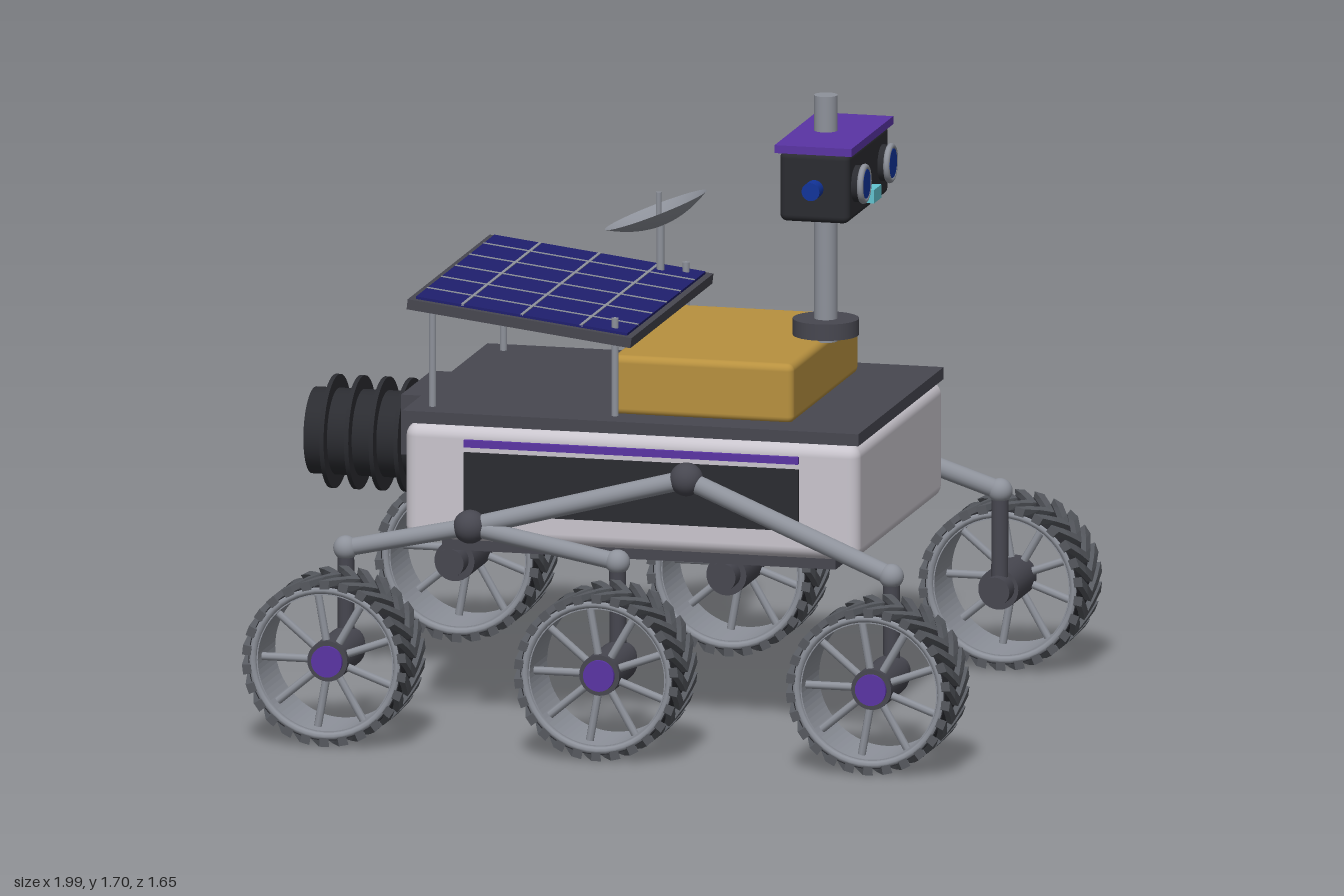
import * as THREE from 'three';
import { mergeGeometries } from 'three/addons/utils/BufferGeometryUtils.js';
import { RoundedBoxGeometry } from 'three/addons/geometries/RoundedBoxGeometry.js';

const mat = (name, color, side = THREE.FrontSide) => {
  const m = new THREE.MeshStandardMaterial({ color, side });
  m.name = name;
  return m;
};

export function createModel() {
  const root = new THREE.Group();
  root.name = 'rover';
  const shell = mat('pale shell', 0xc9c5cd);
  const deckGrey = mat('deck grey', 0x474750);
  const black = mat('charcoal', 0x2b2c31);
  const metal = mat('metal', 0x8e929b, THREE.DoubleSide);
  const tread = mat('tread grey', 0x56595f);
  const gold = mat('gold', 0xb8913f);
  const purple = mat('purple', 0x5a34a4);
  const cellBlue = mat('solar blue', 0x1f1f6e);
  const lensBlue = mat('lens blue', 0x12349a);
  const cyan = mat('cyan', 0x62c4d0);

  const add = (parent, name, geo, material, x = 0, y = 0, z = 0) => {
    const m = new THREE.Mesh(geo, material);
    m.name = name;
    m.position.set(x, y, z);
    parent.add(m);
    return m;
  };
  // box given by its minimum and maximum corners
  const block = (parent, name, material, a, b, r = 0) => {
    const s = a.map((v, i) => b[i] - v);
    const geo = r ? new RoundedBoxGeometry(...s, 3, r) : new THREE.BoxGeometry(...s);
    return add(parent, name, geo, material, ...a.map((v, i) => (v + b[i]) / 2));
  };
  // round bar between two points
  const bar = (parent, name, material, a, b, r, sides = 20) => {
    const p = new THREE.Vector3(...a), q = new THREE.Vector3(...b), d = q.clone().sub(p);
    const m = add(parent, name, new THREE.CylinderGeometry(r, r, d.length(), sides), material);
    m.position.copy(p).add(q).multiplyScalar(0.5);
    m.quaternion.setFromUnitVectors(new THREE.Vector3(0, 1, 0), d.normalize());
    return m;
  };
  const ball = (parent, name, material, p, r) =>
    add(parent, name, new THREE.SphereGeometry(r, 24, 16), material, ...p);

  // Chassis
  block(root, 'body', shell, [-0.63, 0.51, -0.465], [0.64, 0.83, 0.465], 0.035);
  block(root, 'deck', deckGrey, [-0.635, 0.832, -0.463], [0.64, 0.865, 0.463]);
  block(root, 'bellyPlate', deckGrey, [-0.545, 0.47, -0.38], [0.555, 0.515, 0.38]);
  block(root, 'equipmentBox', gold, [-0.08, 0.86, -0.36], [0.43, 1.025, 0.36], 0.02);
  for (const s of [1, -1]) {
    add(root, 'sidePanel', new THREE.BoxGeometry(0.935, 0.17, 0.009), black, 0.007, 0.675, s * 0.468);
    add(root, 'sideStripe', new THREE.BoxGeometry(0.935, 0.02, 0.014), purple, 0.007, 0.785, s * 0.47);
  }

  // Rear power unit with cooling fins
  block(root, 'powerMount', deckGrey, [-0.715, 0.68, -0.165], [-0.51, 0.845, 0.165]);
  bar(root, 'powerUnit', black, [-1, 0.7, 0], [-0.6, 0.7, 0], 0.118, 40);
  for (let i = 0; i < 4; i++) {
    const x = -0.94 + i * 0.069;
    bar(root, 'coolingFin', black, [x - 0.006, 0.7, 0], [x + 0.006, 0.7, 0], 0.155, 40);
  }

  // Solar panel
  const solar = new THREE.Group();
  solar.name = 'solarPanel';
  solar.position.set(-0.313, 1.118, 0);
  solar.rotation.z = -0.12;
  root.add(solar);
  add(solar, 'panelFrame', new THREE.BoxGeometry(0.63, 0.028, 0.89), deckGrey);
  add(solar, 'solarCells', new THREE.BoxGeometry(0.595, 0.008, 0.85), cellBlue, 0, 0.017, 0);
  for (let i = -1; i <= 1; i++)
    add(solar, 'cellLine', new THREE.BoxGeometry(0.008, 0.006, 0.85), metal, i * 0.167, 0.02, 0);
  for (let i = -2; i <= 2; i++)
    add(solar, 'cellLine', new THREE.BoxGeometry(0.595, 0.006, 0.008), metal, 0, 0.02, i * 0.153);
  for (const s of [1, -1]) {
    bar(root, 'panelPost', metal, [-0.57, 0.86, s * 0.385], [-0.57, 1.13, s * 0.385], 0.01, 12);
    bar(root, 'panelPost', metal, [-0.06, 0.86, s * 0.385], [-0.06, 1.135, s * 0.385], 0.01, 12);
  }

  // Dish antenna
  bar(root, 'dishPost', metal, [-0.125, 0.865, -0.36], [-0.125, 1.24, -0.36], 0.011, 12);
  const bowl = [];
  for (let i = 0; i <= 8; i++) bowl.push(new THREE.Vector2(0.148 * i / 8, 0.045 * ((i / 8) ** 2 - 1)));
  const dish = add(root, 'dish', new THREE.LatheGeometry(bowl, 40), metal, -0.138, 1.28, -0.36);
  dish.rotation.z = 0.38;
  bar(root, 'dishFeed', metal, [-0.13, 1.24, -0.36], [-0.13, 1.33, -0.36], 0.008, 12);

  // Mast and camera head
  bar(root, 'mastBase', deckGrey, [0.43, 1.038, 0], [0.43, 1.083, 0], 0.09, 32);
  bar(root, 'mast', metal, [0.43, 1.02, 0], [0.43, 1.7, 0], 0.032, 24);
  block(root, 'head', black, [0.355, 1.39, -0.22], [0.55, 1.585, 0.22], 0.02);
  block(root, 'headRoof', purple, [0.345, 1.58, -0.227], [0.56, 1.602, 0.227]);
  block(root, 'sensor', cyan, [0.545, 1.415, -0.04], [0.575, 1.452, 0.04]);
  for (const s of [1, -1]) {
    const z = s * 0.143;
    bar(root, 'eyeHousing', black, [0.54, 1.49, z], [0.572, 1.49, z], 0.05, 32);
    add(root, 'eyeRing', new THREE.TorusGeometry(0.046, 0.009, 10, 36), metal, 0.574, 1.49, z).rotation.y = Math.PI / 2;
    bar(root, 'eyeLens', lensBlue, [0.55, 1.49, z], [0.582, 1.49, z], 0.04, 32);
    bar(root, 'sideLamp', lensBlue, [0.455, 1.485, s * 0.21], [0.455, 1.485, s * 0.264], 0.025, 24);
  }

  // Chevron tread: bars bent around the tyre, apex leading forward
  const W = 0.21, COUNT = 26, bars = [];
  for (let i = 0; i < COUNT; i++) {
    const g = new THREE.BoxGeometry(0.12, 0.024, W, 1, 1, 4);
    const p = g.attributes.position;
    for (let k = 0; k < p.count; k++) {
      const z = p.getZ(k), r = 0.218 + p.getY(k);
      const a = i / COUNT * Math.PI * 2 - p.getX(k) - 0.27 * (1 - Math.abs(z) * 2 / W);
      p.setXYZ(k, r * Math.sin(-a), r * Math.cos(a), z);
    }
    const flat = g.toNonIndexed();
    flat.computeVertexNormals();
    bars.push(flat);
  }
  const treadGeo = mergeGeometries(bars);
  const ringGeo = (r0, r1, w) => {
    const shape = new THREE.Shape().absarc(0, 0, r1, 0, Math.PI * 2);
    shape.holes.push(new THREE.Path().absarc(0, 0, r0, 0, Math.PI * 2, true));
    return new THREE.ExtrudeGeometry(shape, { depth: w, bevelEnabled: false, curveSegments: 40 }).translate(0, 0, -w / 2);
  };
  const tyreGeo = ringGeo(0.198, 0.213, 0.2), rimGeo = ringGeo(0.188, 0.199, 0.19);
  const lipGeo = new THREE.TorusGeometry(0.202, 0.011, 8, 48);

  const addWheel = (x, s) => {
    const w = new THREE.Group();
    w.name = 'wheel';
    w.position.set(x, 0.231, s * 0.72);
    root.add(w);
    add(w, 'tyre', tyreGeo, black);
    add(w, 'treadBars', treadGeo, tread);
    add(w, 'rim', rimGeo, metal);
    for (const e of [1, -1]) add(w, 'rimLip', lipGeo, metal, 0, 0, e * 0.094);
    for (let i = 0; i < 9; i++) {
      const a = (i + 0.5) / 9 * Math.PI * 2, c = Math.cos(a), d = Math.sin(a);
      bar(w, 'spoke', metal, [c * 0.04, d * 0.04, s * 0.045], [c * 0.195, d * 0.195, s * 0.045], 0.011, 8);
    }
    bar(w, 'hub', deckGrey, [0, 0, -s * 0.13], [0, 0, s * 0.07], 0.056, 28);
    bar(w, 'hubCap', purple, [0, 0, s * 0.06], [0, 0, s * 0.08], 0.043, 28);
  };

  // Rocker suspension on both sides
  for (const s of [1, -1]) {
    const pivot = [0.17, 0.725, s * 0.505], bogie = [-0.42, 0.575, s * 0.562];
    const tops = [-0.76, 0, 0.765].map(x => [x, 0.505, s * 0.59]);
    bar(root, 'rockerAxle', deckGrey, [0.17, 0.725, s * 0.44], pivot, 0.03);
    ball(root, 'rockerPivot', deckGrey, pivot, 0.046);
    ball(root, 'bogiePivot', deckGrey, bogie, 0.046);
    bar(root, 'rockerArm', metal, pivot, tops[2], 0.026);
    bar(root, 'rockerArm', metal, pivot, bogie, 0.026);
    bar(root, 'bogieArm', metal, bogie, tops[0], 0.024);
    bar(root, 'bogieArm', metal, bogie, tops[1], 0.024);
    for (const t of tops) {
      ball(root, 'strutJoint', metal, t, 0.034);
      bar(root, 'strut', deckGrey, t, [t[0], 0.235, s * 0.585], 0.023);
      bar(root, 'wheelMotor', deckGrey, [t[0], 0.235, s * 0.535], [t[0], 0.235, s * 0.605], 0.04);
      addWheel(Math.sign(Math.round(t[0])) * 0.76, s);
    }
  }
  return root;
}
